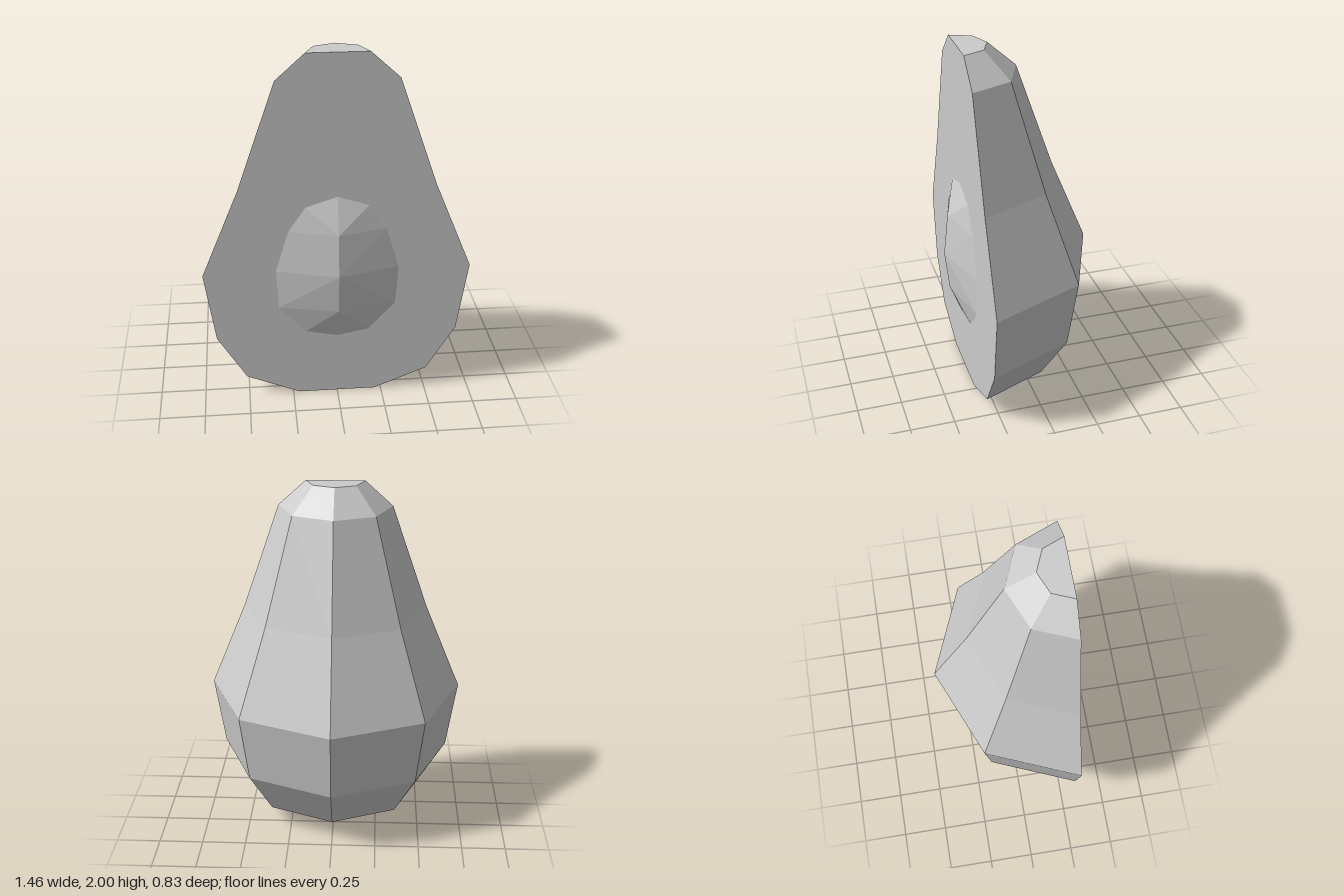
import * as THREE from 'three';

const FACE_Z = 0.315; // plane of the flat cut
const PROFILE = [[0.215, 0], [0.51, 0.12], [0.67, 0.38], [0.73, 0.775], [0.525, 1.27], [0.32, 1.86], [0.165, 2]];

// Stone: ridge (y, z) down the middle, rim (x, y) where it meets the cut
const RIDGE = [[1.215, 0.315], [1.02, 0.39], [0.785, 0.415], [0.56, 0.39], [0.365, 0.315]];
const RIM = [[0.17, 1.16], [0.265, 1.02], [0.335, 0.785], [0.322, 0.56], [0.175, 0.4]];

function stoneGeometry() {
  const positions = [];
  for (const side of [1, -1]) {
    const ridge = RIDGE.map(([y, z]) => [0, y, z]);
    const rim = RIM.map(([x, y]) => [side * x, y, FACE_Z]);
    const tri = (a, b, c) => positions.push(...a, ...(side > 0 ? b : c), ...(side > 0 ? c : b));
    for (let i = 0; i < 4; i++) {
      const [a, b, c, d] = [ridge[i], ridge[i + 1], rim[i + 1], rim[i]];
      // diagonals run away from the centre so the stone stays convex
      if (i < 2) { tri(b, c, d); tri(b, d, a); }
      else { tri(a, b, c); tri(a, c, d); }
    }
  }
  const geometry = new THREE.BufferGeometry();
  geometry.setAttribute('position', new THREE.Float32BufferAttribute(positions, 3));
  geometry.computeVertexNormals();
  return geometry;
}

export function createModel() {
  const group = new THREE.Group();
  group.name = 'halvedAvocado';
  const material = new THREE.MeshStandardMaterial({ color: 0xcccccc, flatShading: true });
  const add = (name, geometry) => {
    const mesh = new THREE.Mesh(geometry, material);
    mesh.name = name;
    group.add(mesh);
    return mesh;
  };

  // Skin: half of an eight-sided lathe, closed at both ends
  const points = [[0, 0], ...PROFILE, [0, 2]].map(([r, y]) => new THREE.Vector2(r, y));
  add('skin', new THREE.LatheGeometry(points, 4, Math.PI / 2, Math.PI)).position.z = FACE_Z;

  // Flat cut face: the profile mirrored into an outline
  const outline = [...PROFILE, ...PROFILE.map(([x, y]) => [-x, y]).reverse()];
  const shape = new THREE.Shape(outline.map(([x, y]) => new THREE.Vector2(x, y)));
  add('cutFace', new THREE.ShapeGeometry(shape)).position.z = FACE_Z;

  // Stone standing out of the cut face
  add('stone', stoneGeometry());

  return group;
}
